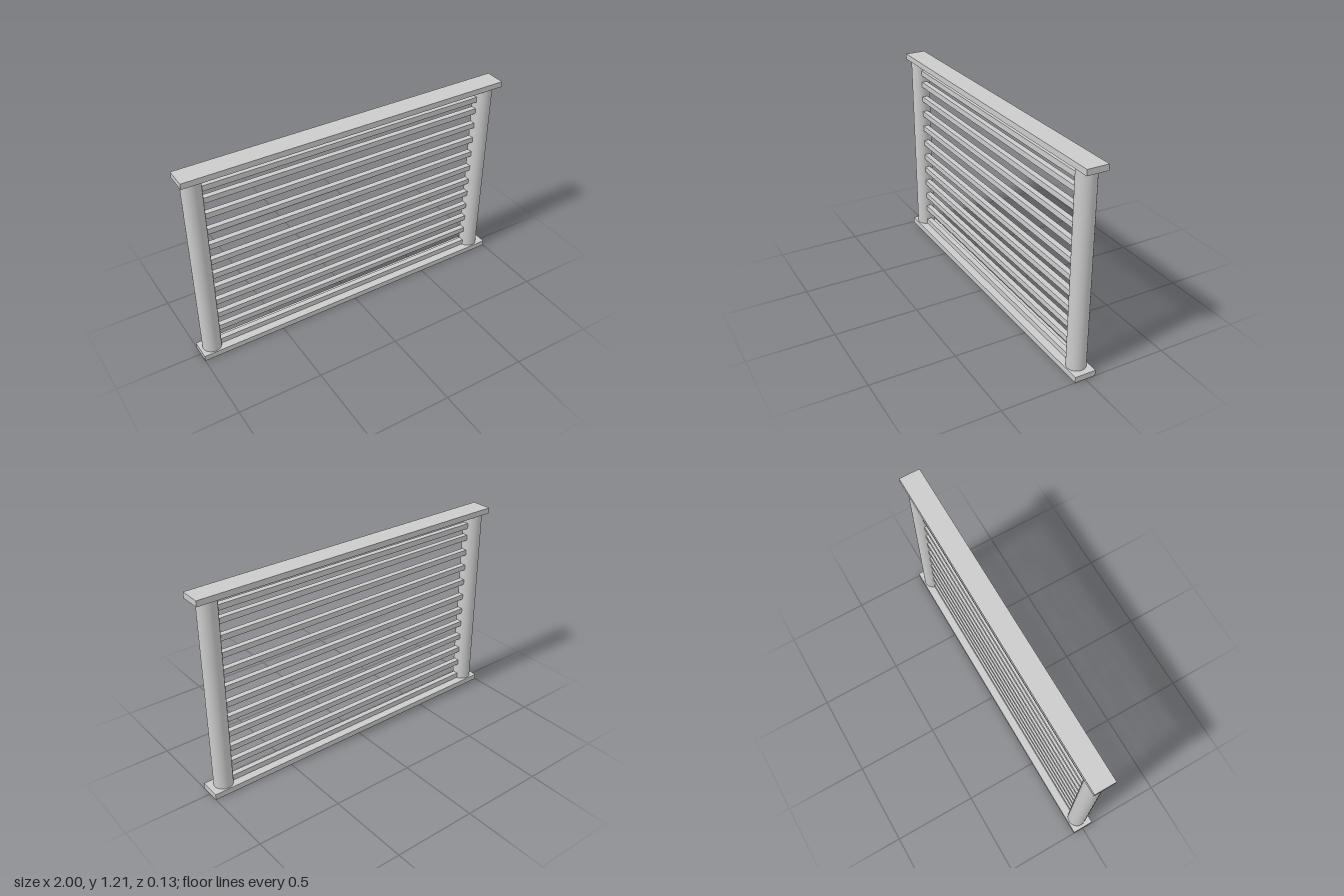
import * as THREE from 'three';

export function createModel() {
  const group = new THREE.Group();
  const material = new THREE.MeshStandardMaterial({ color: 0xcccccc });

  const add = (name, geometry, x, y) => {
    const mesh = new THREE.Mesh(geometry, material);
    mesh.name = name;
    mesh.position.set(x, y, 0);
    group.add(mesh);
  };

  // Flat rails at the bottom and top
  const height = 1.21, railHeight = 0.034;
  const rail = new THREE.BoxGeometry(2, railHeight, 0.126);
  add('bottomRail', rail, 0, railHeight / 2);
  add('topRail', rail, 0, height - railHeight / 2);

  // Round posts between the rails, set slightly off centre
  const postRight = -0.927, postLeft = 0.912, postRadius = 0.055;
  const post = new THREE.CylinderGeometry(postRadius, postRadius, height - 2 * railHeight, 48);
  add('rightPost', post, postRight, height / 2);
  add('leftPost', post, postLeft, height / 2);

  // Square slats, unevenly spaced, ending just inside the posts
  const slatSize = 0.033;
  const slatLength = postLeft - postRight - 2 * postRadius + 0.01;
  const slat = new THREE.BoxGeometry(slatLength, slatSize, slatSize);
  const slatHeights = [0.053, 0.155, 0.251, 0.347, 0.443, 0.535, 0.634, 0.737, 0.837, 0.937, 1.035, 1.11];
  slatHeights.forEach((y, i) => add(`slat${i + 1}`, slat, (postLeft + postRight) / 2, y));

  return group;
}
